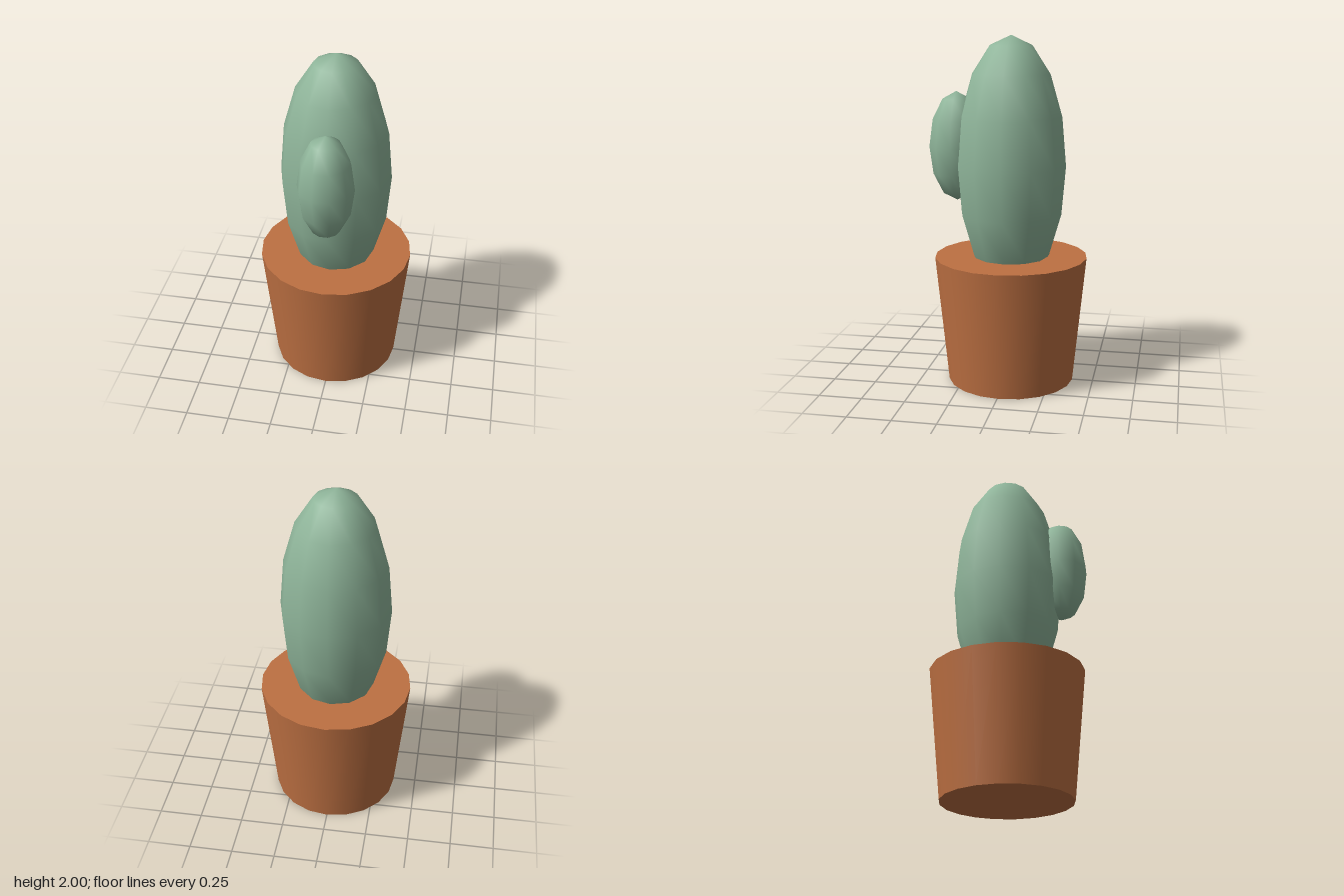
import * as THREE from 'three';

export function createModel() {
  const root = new THREE.Group();
  root.name = 'pottedCactus';
  const green = new THREE.MeshStandardMaterial({ color: 0x8fb59a });
  const clay = new THREE.MeshStandardMaterial({ color: 0xbd7042 });
  const axisZ = -0.013; // pot and main stem share this axis

  const add = (name, geometry, material, y, z) => {
    const mesh = new THREE.Mesh(geometry, material);
    mesh.name = name;
    mesh.position.set(0, y, z);
    root.add(mesh);
  };

  // Low-poly ellipsoid, round in plan and stretched upwards
  const ellipsoid = (radius, halfHeight, sides, rings) =>
    new THREE.SphereGeometry(radius, sides, rings).scale(1, halfHeight / radius, 1);

  // Tapered pot with a flat, closed top
  add('pot', new THREE.CylinderGeometry(0.44, 0.366, 0.74, 20), clay, 0.37, axisZ);

  // Main stem, sunk into the pot
  add('stem', ellipsoid(0.315, 0.73, 12, 8), green, 1.27, axisZ);

  // Small bud on the front of the stem
  add('bud', ellipsoid(0.157, 0.314, 10, 6), green, 1.371, 0.303);

  return root;
}
